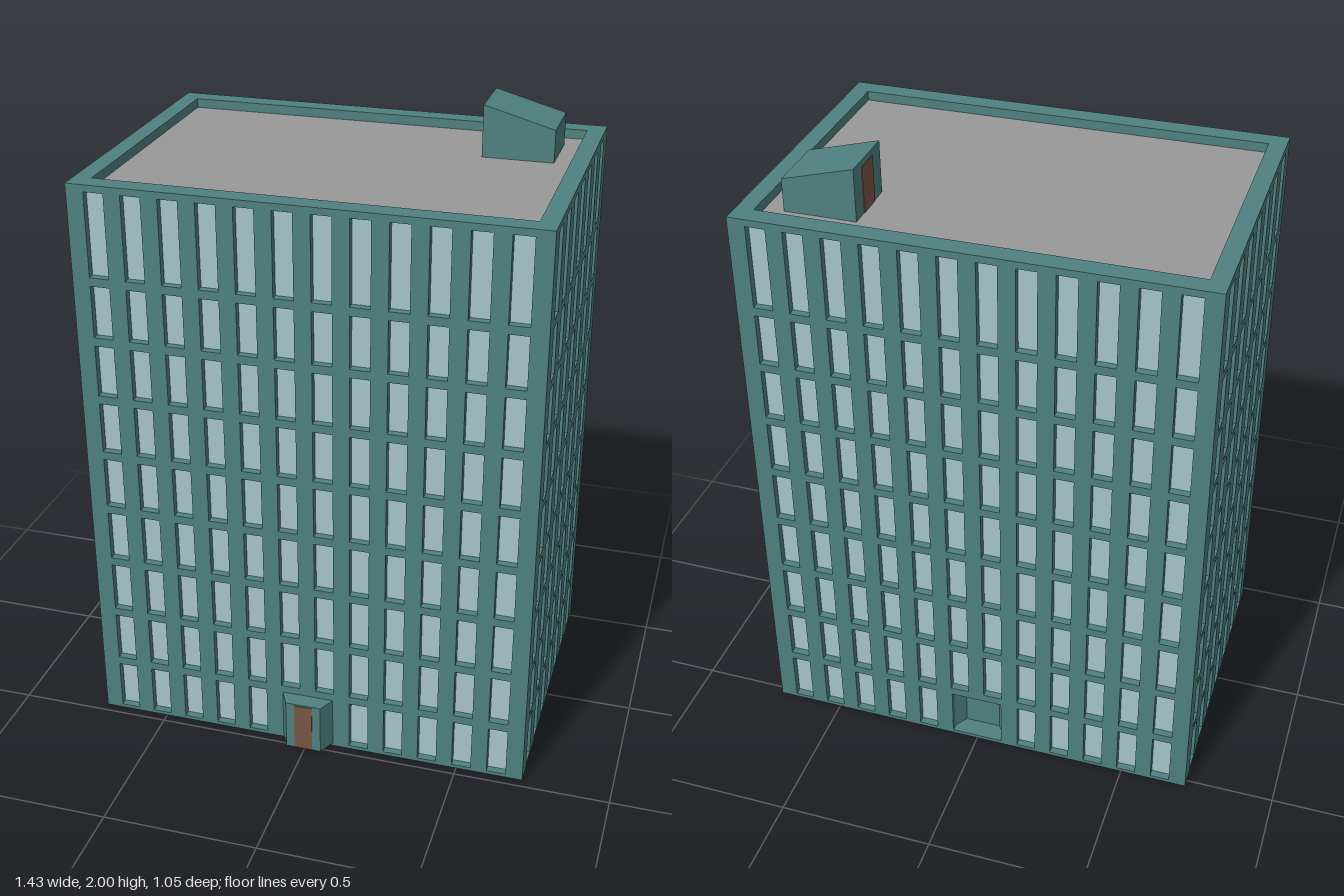
import * as THREE from 'three';
import { mergeGeometries } from 'three/addons/utils/BufferGeometryUtils.js';

const W = 1.434, D = 0.995, H = 1.865, CZ = -0.0275; // block size and its z centre
const WALL = 0.025, ROOF = 1.835, FLOOR_H = 0.1955, FLOORS = 9;
const paint = (color) => new THREE.MeshStandardMaterial({ color, flatShading: true });
const teal = paint(0x4f8080), glass = paint(0xa5c5c9), grey = paint(0x999999), brown = paint(0x7a5645);

function add(parent, name, geometry, material, x = 0, y = 0, z = 0) {
  const mesh = new THREE.Mesh(geometry, material);
  mesh.name = name;
  mesh.position.set(x, y, z);
  parent.add(mesh);
  return mesh;
}

const polygon = (points) => new THREE.Shape(points.map(([x, y]) => new THREE.Vector2(x, y)));

function rectHole(x0, x1, y0, y1) {
  const p = new THREE.Path();
  p.moveTo(x0, y0).lineTo(x0, y1).lineTo(x1, y1).lineTo(x1, y0).closePath();
  return p;
}

const extrude = (shape, depth) => new THREE.ExtrudeGeometry(shape, { depth, bevelEnabled: false });

// Extrudes a plan drawn in (x, z) upwards
const extrudeUp = (points, height) =>
  extrude(polygon(points.map(([x, z]) => [x, -z])), height).rotateX(-Math.PI / 2);

// A wall pierced by a grid of windows, outer face at local z = 0
function facade(name, width, cols, pitch, winW, doorway) {
  const group = new THREE.Group();
  group.name = name;
  const shape = polygon([[-width / 2, 0], [width / 2, 0], [width / 2, H], [-width / 2, H]]);
  const panes = [];
  for (let r = 0; r < FLOORS; r++) {
    const y0 = 0.012 + r * FLOOR_H;
    const y1 = r === FLOORS - 1 ? 1.843 : y0 + 0.168; // taller top storey
    for (let c = 0; c < cols; c++) {
      const x = (c - (cols - 1) / 2) * pitch;
      if (doorway && r === 0 && Math.abs(x) < pitch) continue;
      shape.holes.push(rectHole(x - winW / 2, x + winW / 2, y0, y1));
      panes.push(new THREE.PlaneGeometry(winW, y1 - y0).translate(x, (y0 + y1) / 2, -WALL + 0.001));
    }
  }
  if (doorway === 'niche') shape.holes.push(rectHole(-0.085, 0.085, 0.012, 0.18));
  add(group, 'wall', extrude(shape, WALL), teal, 0, 0, -WALL);
  add(group, 'windowPanes', mergeGeometries(panes), glass);
  return group;
}

export function createModel() {
  const model = new THREE.Group();
  model.name = 'officeBlock';

  // Four facades
  const front = facade('frontFacade', W, 12, 0.1147, 0.062, 'porch');
  front.position.z = CZ + D / 2;
  const back = facade('backFacade', W, 12, 0.1147, 0.062, 'niche');
  back.position.z = CZ - D / 2;
  back.rotation.y = Math.PI;
  model.add(front, back);
  for (const s of [1, -1]) {
    const side = facade(s > 0 ? 'leftFacade' : 'rightFacade', D - 2 * WALL, 7, 0.1325, 0.064);
    side.position.set(s * W / 2, 0, CZ);
    side.rotation.y = s * Math.PI / 2;
    model.add(side);
  }

  // Base, roof deck and parapet
  add(model, 'base', new THREE.BoxGeometry(W - 0.01, 0.01, D - 0.01), teal, 0, 0.005, CZ);
  add(model, 'roofDeck', new THREE.BoxGeometry(W - 2 * WALL, 0.02, D - 2 * WALL), grey, 0, ROOF - 0.01, CZ);
  const px = W / 2 - WALL, pz = D / 2 - WALL, ix = W / 2 - 0.056, iz = D / 2 - 0.064;
  const ring = polygon([[-px, -pz], [px, -pz], [px, pz], [-px, pz]]);
  ring.holes.push(rectHole(-ix, ix, -iz, iz));
  add(model, 'parapet', extrude(ring, H - ROOF).rotateX(-Math.PI / 2), teal, 0, ROOF, CZ);

  // Tapered front porch with its door
  const zf = CZ + D / 2;
  const porch = new THREE.Group();
  porch.name = 'porch';
  porch.position.z = zf;
  add(porch, 'porchBody', extrudeUp([[-0.085, -0.01], [-0.085, 0], [-0.058, 0.053], [0.058, 0.053], [0.085, 0], [0.085, -0.01]], 0.172), teal, 0, 0.01);
  add(porch, 'frontDoor', new THREE.BoxGeometry(0.06, 0.164, 0.004), brown, 0, 0.095, 0.053);
  model.add(porch);

  // Tapered niche sunk into the back wall
  const niche = new THREE.Group();
  niche.name = 'backNiche';
  niche.position.z = CZ - D / 2 + WALL;
  add(niche, 'nicheWalls', extrudeUp([[-0.085, 0], [-0.058, 0.04], [0.058, 0.04], [0.085, 0], [0.1, 0], [0.1, 0.06], [-0.1, 0.06], [-0.1, 0]], 0.19), teal);
  add(niche, 'nicheCeiling', new THREE.BoxGeometry(0.2, 0.01, 0.06), teal, 0, 0.185, 0.03);
  model.add(niche);

  // Stair hut on the roof, sloping down to the model's left
  const hut = polygon([[0.376, ROOF], [0.601, ROOF], [0.601, 1.938], [0.376, 2]]);
  add(model, 'roofHut', extrude(hut, 0.198), teal, 0, 0, -0.392);
  add(model, 'roofHutDoor', new THREE.BoxGeometry(0.004, 0.145, 0.08), brown, 0.376, ROOF + 0.0725, -0.293);

  return model;
}
